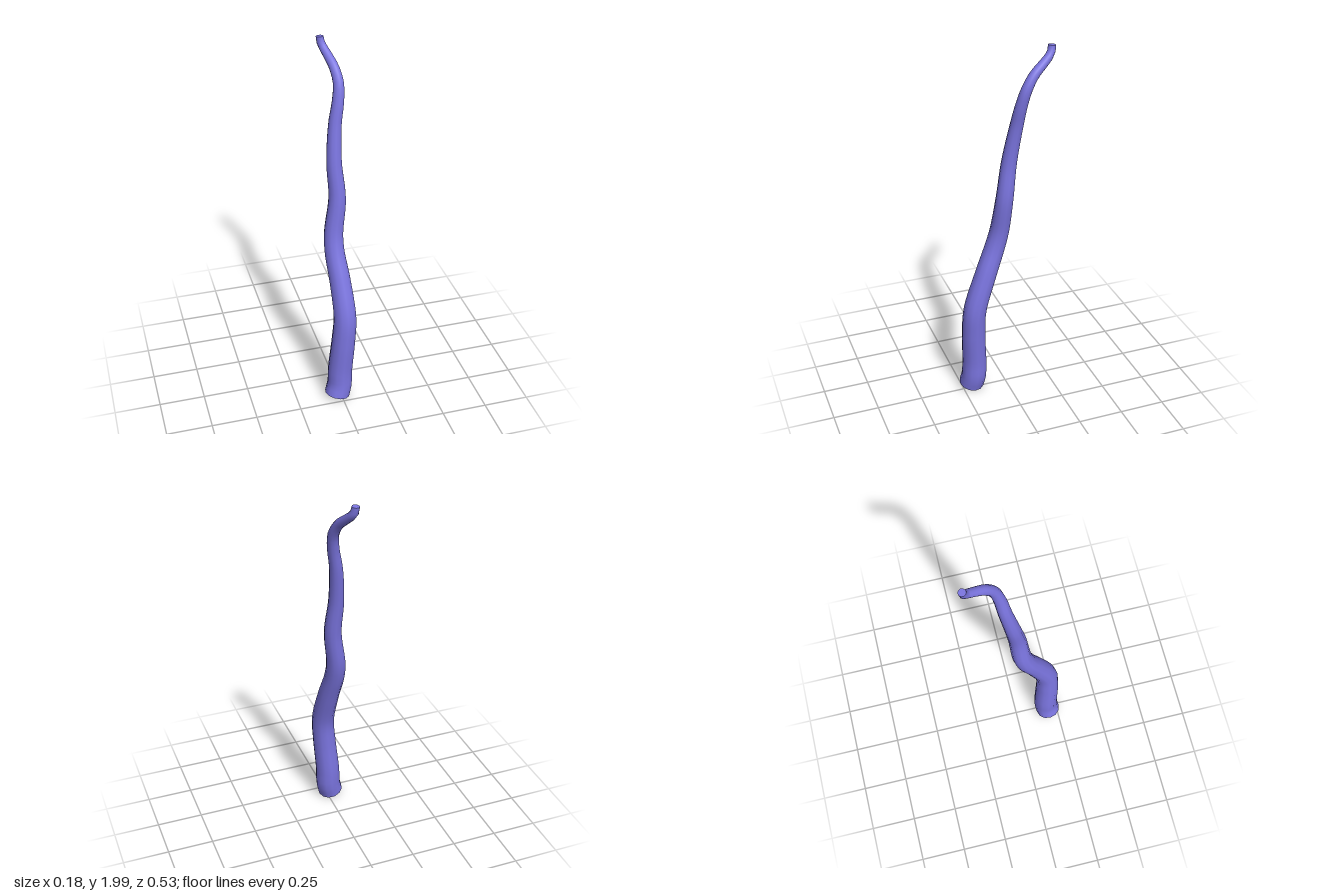
import * as THREE from 'three';

const SEGMENTS = 64, SIDES = 12;

// Flat end disc fanned over one ring of the tube
function makeCap(tubePos, ring, centre, atTip, material) {
  const verts = [];
  const corner = (j) => new THREE.Vector3().fromBufferAttribute(tubePos, ring * (SIDES + 1) + j);
  for (let j = 0; j < SIDES; j++) {
    const a = corner(atTip ? j + 1 : j), b = corner(atTip ? j : j + 1);
    verts.push(...centre.toArray(), ...a.toArray(), ...b.toArray());
  }
  const geo = new THREE.BufferGeometry();
  geo.setAttribute('position', new THREE.Float32BufferAttribute(verts, 3));
  geo.computeVertexNormals();
  const mesh = new THREE.Mesh(geo, material);
  mesh.name = atTip ? 'tipCap' : 'baseCap';
  return mesh;
}

export function createModel() {
  const group = new THREE.Group();
  group.name = 'tentacle';
  const material = new THREE.MeshStandardMaterial({ color: 0x7b75e0 });

  // Winding centre line, base to tip
  const path = new THREE.CatmullRomCurve3([
    [-0.025, 0.035, 0.195], [-0.008, 0.1, 0.186], [-0.004, 0.2, 0.183], [0.012, 0.4, 0.19],
    [0.022, 0.55, 0.182], [0.012, 0.75, 0.117], [-0.002, 0.9, 0.06], [0, 1.0, 0.033],
    [0.025, 1.2, 0.012], [0.016, 1.4, -0.016], [0.03, 1.6, -0.05], [0.05, 1.71, -0.067],
    [0.06, 1.8, -0.092], [0.05, 1.87, -0.136], [0.03, 1.92, -0.196], [0.014, 1.955, -0.235],
    [0.006, 1.98, -0.245], [0.005, 2.0, -0.247],
  ].map((p) => new THREE.Vector3(...p)));

  // Tapered body: unit-radius tube with each ring shrunk to its own radius
  const geo = new THREE.TubeGeometry(path, SEGMENTS, 1, SIDES, false);
  const pos = geo.attributes.position, normal = geo.attributes.normal;
  const v = new THREE.Vector3(), n = new THREE.Vector3();
  for (let i = 0; i <= SEGMENTS; i++) {
    const u = i / SEGMENTS;
    const radius = 0.02 + 0.05 * (1 - Math.pow(u, 1.4));
    const centre = path.getPointAt(u);
    for (let j = 0; j <= SIDES; j++) {
      const k = i * (SIDES + 1) + j;
      n.fromBufferAttribute(normal, k);
      v.copy(centre).addScaledVector(n, radius);
      pos.setXYZ(k, v.x, v.y, v.z);
    }
  }
  const body = new THREE.Mesh(geo, material);
  body.name = 'body';
  group.add(body);

  // Closed ends
  group.add(makeCap(pos, 0, path.getPointAt(0), false, material));
  group.add(makeCap(pos, SEGMENTS, path.getPointAt(1), true, material));
  return group;
}
